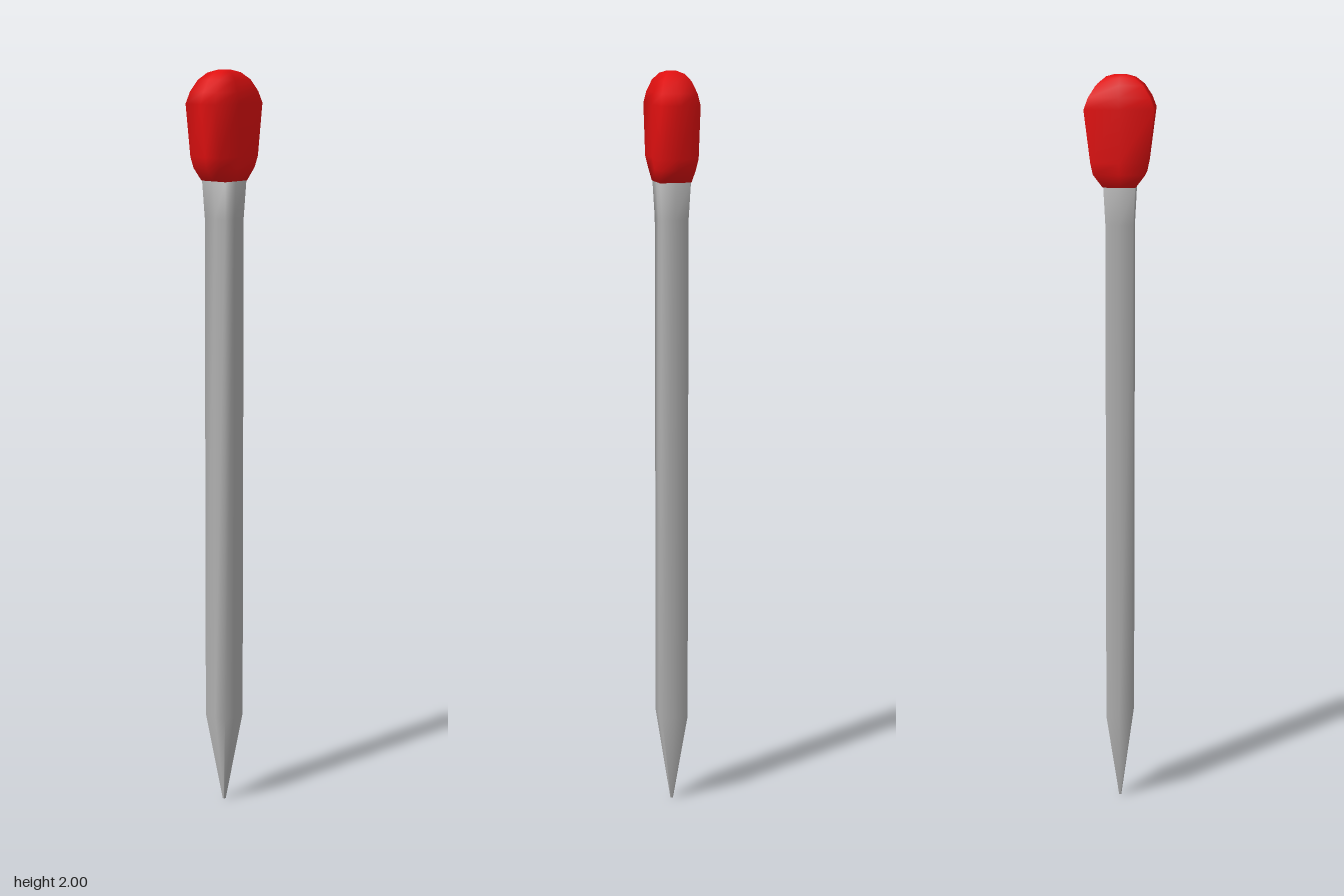
import * as THREE from 'three';

// Loft of rectangular rings [y, halfX, halfZ] with shared vertices, so it shades smoothly.
function loftRectangles(rings) {
  const outline = [[1, 0], [1, 1], [0, 1], [-1, 1], [-1, 0], [-1, -1], [0, -1], [1, -1]];
  const n = outline.length;
  const positions = [];
  const indices = [];
  for (const [y, hx, hz] of rings) {
    for (const [sx, sz] of outline) positions.push(sx * hx, y, sz * hz);
  }
  for (let r = 0; r < rings.length - 1; r++) {
    for (let i = 0; i < n; i++) {
      const a = r * n + i;
      const b = r * n + (i + 1) % n;
      indices.push(a, a + n, b, b, a + n, b + n);
    }
  }
  // Close both ends with a fan
  const last = (rings.length - 1) * n;
  const bottom = positions.length / 3;
  positions.push(0, rings[0][0], 0, 0, rings[rings.length - 1][0], 0);
  for (let i = 0; i < n; i++) {
    const j = (i + 1) % n;
    indices.push(bottom, i, j, bottom + 1, last + j, last + i);
  }
  const geometry = new THREE.BufferGeometry();
  geometry.setAttribute('position', new THREE.Float32BufferAttribute(positions, 3));
  geometry.setIndex(indices);
  geometry.computeVertexNormals();
  return geometry;
}

export function createModel() {
  const model = new THREE.Group();
  model.name = 'pin';
  const steel = new THREE.MeshStandardMaterial({ name: 'steelGrey', color: 0xb0b0b0 });
  const red = new THREE.MeshStandardMaterial({ name: 'red', color: 0xe01010 });

  // Square shaft: pointed tip, straight body, slight flare under the head
  const shaft = new THREE.Mesh(loftRectangles([
    [0, 0.003, 0.003],
    [0.25, 0.036, 0.036],
    [1.62, 0.036, 0.036],
    [1.72, 0.041, 0.041],
  ]), steel);
  shaft.name = 'shaft';

  // Flattened bulb, wider along z
  const head = new THREE.Mesh(loftRectangles([
    [1.717, 0.042, 0.042],
    [1.75, 0.046, 0.067],
    [1.78, 0.052, 0.073],
    [1.915, 0.052, 0.09],
    [1.945, 0.047, 0.079],
    [1.975, 0.037, 0.06],
    [1.993, 0.024, 0.038],
    [2, 0.009, 0.016],
  ]), red);
  head.name = 'head';

  model.add(shaft, head);
  return model;
}
